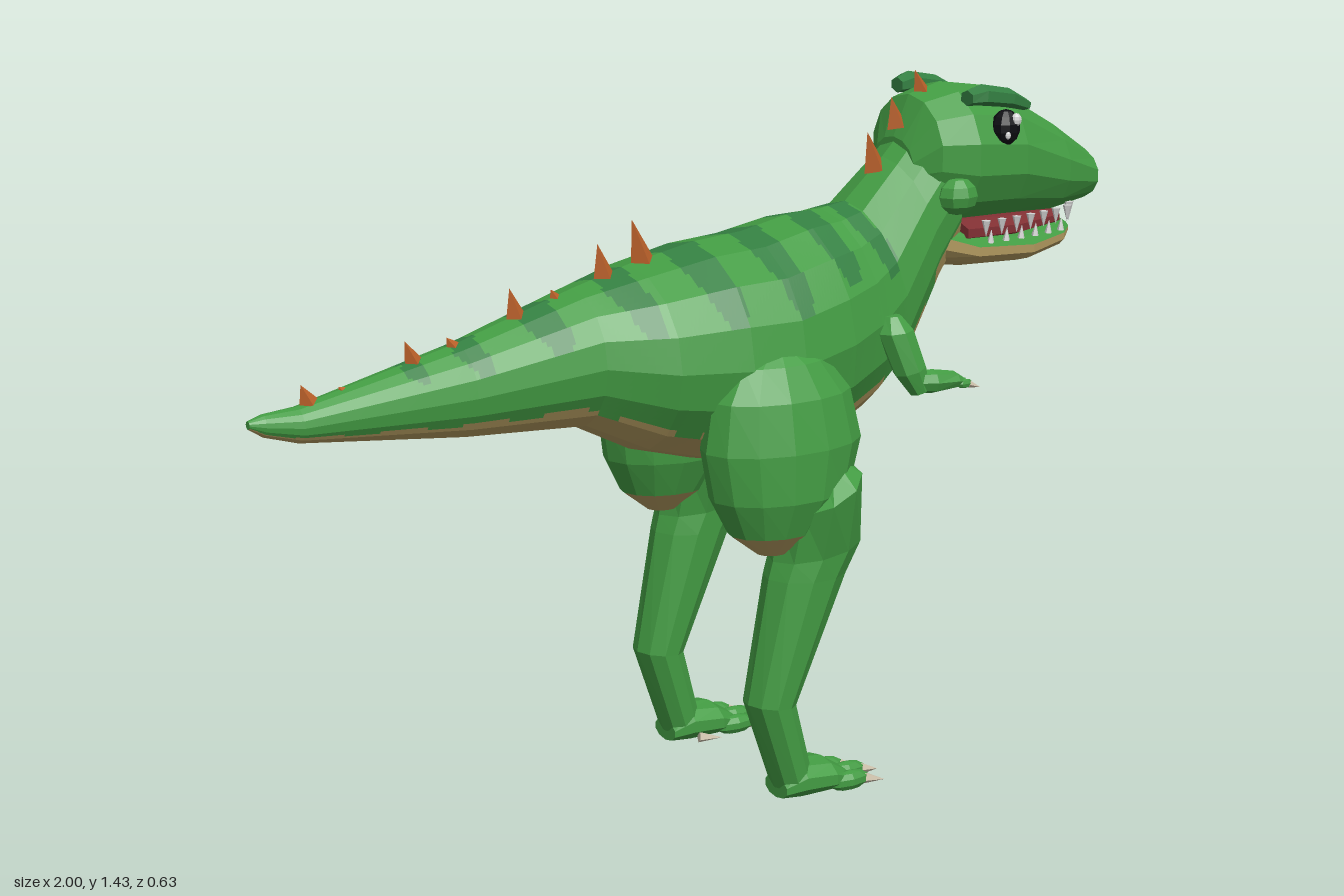
import * as THREE from 'three';

const paint = (name, color) => Object.assign(new THREE.MeshStandardMaterial({ color }), { name });
const GREEN = paint('skin green', 0x439c43), STRIPE = paint('stripe green', 0x348042);
const TAN = paint('belly tan', 0xb0985e), ORANGE = paint('spike orange', 0xba6029);
const BLACK = paint('eye black', 0x0d0d12), WHITE = paint('tooth white', 0xd6d6d6);
const RED = paint('mouth red', 0x823034), CLAW = paint('claw beige', 0xd0c4ae);

// Closed skin over elliptical rings [x, y, z, ru, rz, tilt]; ru lies along (cos tilt, sin tilt, 0).
// step and fine subdivide the facets without rounding them, so pick(x, y, angle) can colour patches.
function loft(name, keys, sides, mats, pick = () => 0, step = 9, fine = 1) {
  const rings = [];
  keys.forEach((k, i) => {
    const next = keys[i + 1];
    if (!next) return rings.push(k);
    const n = Math.max(1, Math.ceil(Math.hypot(next[0] - k[0], next[1] - k[1]) / step));
    for (let j = 0; j < n; j++) rings.push(k.map((v, q) => v + (next[q] - v) * j / n));
  });
  const N = sides * fine, pos = [];
  const corner = i => [Math.cos(i * 2 * Math.PI / sides), Math.sin(i * 2 * Math.PI / sides)];
  for (const [x, y, z, ru, rz, tilt] of rings) {
    const t = tilt * Math.PI / 180;
    for (let j = 0; j < N; j++) {
      const i = Math.floor(j / fine), f = (j % fine) / fine, p = corner(i), q = corner(i + 1);
      const c = (p[0] + (q[0] - p[0]) * f) * ru, s = (p[1] + (q[1] - p[1]) * f) * rz;
      pos.push(x + Math.cos(t) * c, y + Math.sin(t) * c, z + s);
    }
  }
  const lists = mats.map(() => []);
  for (let r = 0; r < rings.length - 1; r++) for (let j = 0; j < N; j++) {
    const a = r * N + j, b = r * N + (j + 1) % N;
    const ang = (j + 0.5) / N * 2 * Math.PI, fromTop = Math.min(ang, 2 * Math.PI - ang);
    const x = (rings[r][0] + rings[r + 1][0]) / 2, y = (rings[r][1] + rings[r + 1][1]) / 2;
    lists[pick(x, y, fromTop)].push(a, b, a + N, b, b + N, a + N);
  }
  // end caps
  const last = (rings.length - 1) * N;
  for (let j = 1; j < N - 1; j++) lists[0].push(0, j + 1, j, last, last + j, last + j + 1);
  // turn the faces outward
  const V = i => new THREE.Vector3().fromArray(pos, i * 3);
  let volume = 0;
  for (const l of lists) for (let i = 0; i < l.length; i += 3) volume += V(l[i]).dot(V(l[i + 1]).cross(V(l[i + 2])));
  if (volume < 0) for (const l of lists) l.reverse();
  const geo = new THREE.BufferGeometry();
  geo.setAttribute('position', new THREE.Float32BufferAttribute(pos, 3));
  geo.setIndex(lists.flat());
  let start = 0;
  lists.forEach((l, i) => { geo.addGroup(start, l.length, i); start += l.length; });
  return facet(name, geo, mats);
}

function facet(name, geo, mat) {
  const flat = geo.toNonIndexed();
  flat.computeVertexNormals();
  const mesh = new THREE.Mesh(flat, mat);
  mesh.name = name;
  return mesh;
}

// Pointed cone from base to tip
function spike(name, base, tip, r, mat, sides = 5) {
  const a = new THREE.Vector3(...base), d = new THREE.Vector3(...tip).sub(a);
  const geo = new THREE.ConeGeometry(r, d.length(), sides).translate(0, d.length() / 2, 0);
  const m = facet(name, geo, mat);
  m.quaternion.setFromUnitVectors(new THREE.Vector3(0, 1, 0), d.normalize());
  m.position.copy(a);
  return m;
}

function ball(name, p, s, mat, w = 10, h = 7) {
  const m = facet(name, new THREE.SphereGeometry(1, w, h).scale(...s), mat);
  m.position.set(...p);
  return m;
}

// Stripes over the back: [centre x, half width, lowest angle from the spine]
const STRIPES = [[-0.66, 0.02, 0.95], [-0.545, 0.026, 1.15], [-0.39, 0.034, 1.2], [-0.215, 0.034, 1.2],
  [-0.05, 0.038, 1.15], [0.11, 0.036, 1.15], [0.265, 0.038, 1.1], [0.385, 0.026, 1.3]];

function bodyColour(x, y, a) {
  const edge = x > 0.49 ? 2.05 : x < -0.3 ? 2.2 + 0.03 * Math.sin(x * 38) : 2.28 + 0.06 * Math.sin(x * 38);
  const collar = x > 0.455 + 0.008 * Math.sin(a * 14) && x < 0.49;
  if (!collar && a > edge) return 2;
  const bend = 0.01 * Math.sin(a * 4);
  return STRIPES.some(([c, w, low]) => a < low && Math.abs(x + bend - c) < w * Math.sqrt(1 - 0.75 * (a / low) ** 3)) ? 1 : 0;
}

export function createModel() {
  const g = new THREE.Group();
  g.name = 'dinosaur';
  const add = (...m) => g.add(...m);

  // Tail, trunk and neck
  add(loft('body', [
    [-1, 0.895, 0, 0.008, 0.008, 90], [-0.97, 0.89, 0, 0.022, 0.02, 90], [-0.9, 0.882, 0, 0.035, 0.035, 90],
    [-0.56, 0.902, 0, 0.092, 0.085, 90], [-0.3, 0.933, 0, 0.138, 0.13, 90], [-0.17, 0.917, 0, 0.187, 0.195, 90],
    [-0.02, 0.911, 0, 0.222, 0.225, 90], [0.1, 0.906, 0, 0.236, 0.232, 90], [0.235, 0.93, 0, 0.236, 0.212, 94],
    [0.33, 0.957, 0, 0.214, 0.182, 99], [0.41, 1.0, 0, 0.185, 0.15, 106], [0.505, 1.12, 0, 0.15, 0.122, 110],
    [0.565, 1.19, 0, 0.145, 0.115, 108]], 16, [GREEN, STRIPE, TAN], bodyColour, 0.008, 4));

  // Skull, jaw and mouth
  add(loft('head', [[0.482, 1.24, 0, 0.06, 0.07, 90], [0.52, 1.265, 0, 0.12, 0.12, 90], [0.6, 1.258, 0, 0.147, 0.146, 90],
    [0.73, 1.248, 0, 0.138, 0.14, 90], [0.87, 1.208, 0, 0.1, 0.113, 90], [0.975, 1.182, 0, 0.057, 0.08, 90],
    [1, 1.19, 0, 0.008, 0.012, 90]], 14, [GREEN]));
  add(loft('jaw', [[0.52, 1.09, 0, 0.06, 0.1, 90], [0.62, 1.062, 0, 0.043, 0.124, 90], [0.78, 1.05, 0, 0.038, 0.108, 90],
    [0.89, 1.06, 0, 0.031, 0.074, 90], [0.925, 1.07, 0, 0.018, 0.045, 90]], 14, [GREEN, TAN], (x, y, a) => a > 1.5 ? 1 : 0));
  add(loft('mouth', [[0.6, 1.1, 0, 0.03, 0.112, 90], [0.75, 1.095, 0, 0.026, 0.1, 90], [0.89, 1.098, 0, 0.02, 0.058, 90]],
    10, [RED]));

  // Spikes along the spine: base x, base y, tip x, tip y
  for (const [x, y, tx, ty] of [[-0.875, 0.92, -0.89, 0.957], [-0.8, 0.928, -0.812, 0.943], [-0.65, 0.962, -0.67, 1.012],
    [-0.565, 0.984, -0.58, 1.008], [-0.425, 1.02, -0.44, 1.087], [-0.335, 1.048, -0.347, 1.074], [-0.225, 1.08, -0.24, 1.152],
    [-0.135, 1.1, -0.16, 1.192], [0.435, 1.235, 0.415, 1.315], [0.49, 1.32, 0.475, 1.382], [0.555, 1.38, 0.535, 1.434]])
    add(spike('backSpike', [x, y, 0], [tx, ty, 0], 0.15 * (ty - y) + 0.015, ORANGE, 4));

  for (const s of [1, -1]) {
    // Face
    add(ball('eye', [0.675, 1.318, s * 0.127], [0.032, 0.038, 0.028], BLACK));
    add(ball('eyeGlint', [0.687, 1.335, s * 0.146], [0.013, 0.014, 0.01], WHITE, 8, 6));
    add(ball('eyeGlint', [0.662, 1.305, s * 0.152], [0.007, 0.008, 0.004], WHITE, 8, 6));
    add(loft('brow', [[0.58, 1.385, s * 0.117, 0.016, 0.022, 90], [0.61, 1.39, s * 0.122, 0.022, 0.031, 85],
      [0.68, 1.379, s * 0.122, 0.02, 0.031, 75], [0.732, 1.36, s * 0.12, 0.012, 0.02, 75]], 6, [STRIPE]));
    add(ball('cheek', [0.56, 1.185, s * 0.117], [0.046, 0.04, 0.038], GREEN, 8, 6));
    // Teeth on both jaws
    for (let i = 0; i < 7; i++) {
      const x = 0.64 + i * 0.043, z = s * (0.115 - 0.045 * (i / 6) ** 2);
      add(spike('upperTooth', [x, 1.125, z], [x, 1.09, z], 0.01, WHITE));
      if (i < 6) add(spike('lowerTooth', [x + 0.02, 1.075, z * 0.92], [x + 0.02, 1.104, z * 0.94], 0.008, WHITE));
    }
    add(spike('frontTooth', [0.912, 1.13, s * 0.058], [0.912, 1.088, s * 0.058], 0.011, WHITE));

    // Arm, hand and claws
    add(loft('upperArm', [[0.35, 0.97, s * 0.175, 0.02, 0.02, 0], [0.352, 0.94, s * 0.185, 0.04, 0.035, 5],
      [0.375, 0.86, s * 0.205, 0.036, 0.032, 15], [0.395, 0.815, s * 0.212, 0.022, 0.022, 20]], 8, [GREEN]));
    add(loft('forearm', [[0.375, 0.835, s * 0.208, 0.022, 0.022, 90], [0.42, 0.833, s * 0.22, 0.025, 0.026, 90],
      [0.475, 0.83, s * 0.222, 0.018, 0.024, 90], [0.495, 0.825, s * 0.222, 0.01, 0.018, 90]], 8, [GREEN]));
    for (const k of [-1, 0, 1]) {
      const z = s * (0.222 + k * 0.016);
      add(ball('finger', [0.492, 0.822, z], [0.02, 0.01, 0.008], GREEN, 6, 4));
      add(spike('handClaw', [0.503, 0.82, z], [0.53, 0.81, z + s * k * 0.004], 0.008, CLAW));
    }

    // Thigh with a pale underside, then the lower leg
    add(loft('thigh', [[0.06, 0.945, 0.185, 0.04, 0.025, 0], [0.062, 0.915, 0.185, 0.11, 0.06, 0],
      [0.065, 0.85, 0.187, 0.16, 0.093, 0], [0.067, 0.75, 0.19, 0.18, 0.11, 0], [0.06, 0.65, 0.195, 0.155, 0.105, 0],
      [0.045, 0.575, 0.198, 0.1, 0.075, 0], [0.04, 0.53, 0.2, 0.035, 0.03, 0]].map(k => (k[2] *= s, k)),
    14, [GREEN, TAN], (x, y) => y < 0.57 ? 1 : 0));
    add(loft('lowerLeg', [[0.15, 0.7, 0.205, 0.03, 0.06, 30], [0.135, 0.65, 0.207, 0.098, 0.113, 25],
      [0.138, 0.525, 0.207, 0.102, 0.078, 8], [0.115, 0.475, 0.206, 0.088, 0.074, 0], [0.032, 0.215, 0.205, 0.053, 0.056, -5],
      [0.09, 0.03, 0.205, 0.043, 0.05, 0]].map(k => (k[2] *= s, k)), 10, [GREEN]));

    // Foot with three clawed toes
    add(loft('foot', [[0.05, 0.03, s * 0.205, 0.022, 0.04, 90], [0.09, 0.045, s * 0.205, 0.04, 0.06, 90],
      [0.16, 0.042, s * 0.205, 0.035, 0.066, 90], [0.205, 0.028, s * 0.205, 0.02, 0.05, 90]], 10, [GREEN]));
    for (const k of [-1, 0, 1]) {
      const z = s * (0.205 + k * 0.046), x = k ? 0.2 : 0.225;
      add(ball('toe', [x, 0.028, z], [0.05, 0.021, 0.02], GREEN, 8, 5));
      add(spike('footClaw', [x + 0.035, 0.026, z], [x + 0.083, 0.016, z + s * k * 0.012], 0.014, CLAW));
    }
    add(spike('heelClaw', [0.1, 0.02, s * 0.15], [0.15, 0.014, s * 0.135], 0.012, CLAW));
  }
  return g;
}
